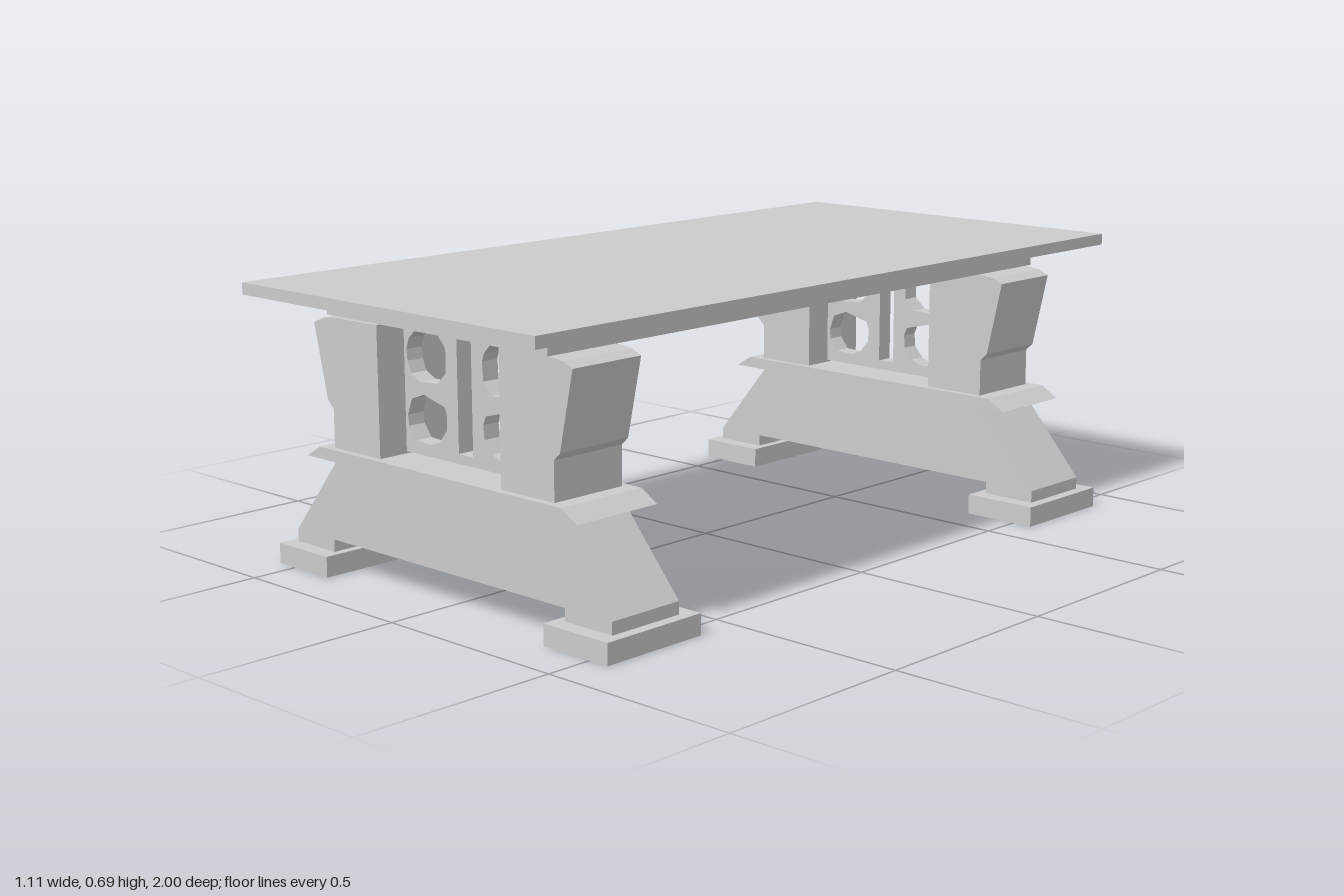
import * as THREE from 'three';

const material = new THREE.MeshStandardMaterial({ color: 0xcccccc, flatShading: true });
const shellMaterial = material.clone();
shellMaterial.side = THREE.DoubleSide;

const Z = 0.744; // distance of each trestle from the middle
const toPoints = (list) => list.map(([x, y]) => new THREE.Vector2(x, y));

function addMesh(parent, name, geometry, mat = material) {
  const mesh = new THREE.Mesh(geometry, mat);
  mesh.name = name;
  parent.add(mesh);
  return mesh;
}

// Box given by its limits
function box(x0, x1, y0, y1, z0, z1) {
  return new THREE.BoxGeometry(x1 - x0, y1 - y0, z1 - z0)
    .translate((x0 + x1) / 2, (y0 + y1) / 2, (z0 + z1) / 2);
}

// Outline in x and y, extruded evenly about z = 0
function prism(outline, depth, holes = []) {
  const shape = new THREE.Shape(toPoints(outline));
  for (const hole of holes) shape.holes.push(new THREE.Path(toPoints(hole)));
  return new THREE.ExtrudeGeometry(shape, { depth, bevelEnabled: false, curveSegments: 1 })
    .translate(0, 0, -depth / 2);
}

// Removes the triangles whose three corners all pass the test, leaving an opening
function openUp(geometry, test) {
  const source = geometry.index ? geometry.toNonIndexed() : geometry;
  const p = source.attributes.position;
  const kept = [];
  for (let i = 0; i < p.count; i += 3) {
    const corners = [i, i + 1, i + 2].map((j) => new THREE.Vector3().fromBufferAttribute(p, j));
    if (!corners.every(test)) corners.forEach((c) => kept.push(c.x, c.y, c.z));
  }
  const result = new THREE.BufferGeometry();
  result.setAttribute('position', new THREE.Float32BufferAttribute(kept, 3));
  result.computeVertexNormals();
  return result;
}

// Hollow foot: open below, with an opening on top where the leg enters
function foot(x0, x1, legX0, legX1) {
  const rect = (a, b, h) => [[a, -h], [b, -h], [b, h], [a, h]];
  const block = prism(rect(x0, x1, 0.14), 0.05, [rect(legX0, legX1, 0.1)])
    .rotateX(-Math.PI / 2).translate(0, 0.025, 0);
  const bottomOpen = openUp(block, (c) => c.y < 0.001);
  return openUp(bottomOpen, (c) => Math.abs(c.z) < 0.11);
}

// Pierced panel half, mirrored for the other side of the slot
const upperHole = [[-0.21, 0.547], [-0.2, 0.574], [-0.174, 0.596], [-0.105, 0.597], [-0.079, 0.571],
  [-0.073, 0.553], [-0.076, 0.508], [-0.105, 0.481], [-0.165, 0.478], [-0.195, 0.493], [-0.207, 0.52]];
const lowerHole = [[-0.21, 0.395], [-0.195, 0.434], [-0.153, 0.449], [-0.082, 0.431], [-0.073, 0.41],
  [-0.076, 0.377], [-0.1, 0.348], [-0.129, 0.336], [-0.183, 0.339], [-0.207, 0.369]];

function panel() {
  const mirror = (list) => list.map(([x, y]) => [-0.025 - x, y]);
  const outline = [[-0.218, 0.308], [0.193, 0.308], [0.193, 0.61], [-0.218, 0.61]];
  const slot = [[-0.036, 0.331], [0.012, 0.331], [0.012, 0.606], [-0.036, 0.606]];
  return prism(outline, 0.045, [slot, upperHole, lowerHole, mirror(upperHole), mirror(lowerHole)]);
}

function trestle(name) {
  const group = new THREE.Group();
  group.name = name;

  // Feet
  addMesh(group, 'rightFoot', foot(-0.556, -0.377, -0.536, -0.398), shellMaterial);
  addMesh(group, 'leftFoot', foot(0.36, 0.553, 0.385, 0.526), shellMaterial);

  // Spreading base with two open-ended legs
  const base = prism([[-0.536, 0.05], [-0.398, 0.05], [-0.398, 0.08], [0.385, 0.08], [0.385, 0.05],
    [0.526, 0.05], [0.526, 0.08], [0.358, 0.275], [-0.376, 0.275], [-0.536, 0.08]], 0.2);
  addMesh(group, 'trestleBase', openUp(base, (c) => c.y < 0.051), shellMaterial);

  // Ledge with sloping ends
  addMesh(group, 'ledge',
    prism([[-0.462, 0.275], [0.444, 0.275], [0.397, 0.303], [-0.417, 0.303]], 0.237));

  // Flared posts
  addMesh(group, 'rightPost', prism([[-0.383, 0.303], [-0.218, 0.303], [-0.218, 0.611],
    [-0.38, 0.609], [-0.412, 0.604], [-0.445, 0.59], [-0.403, 0.413], [-0.383, 0.395]], 0.2));
  addMesh(group, 'leftPost', prism([[0.19, 0.303], [0.357, 0.303], [0.357, 0.395], [0.376, 0.413],
    [0.417, 0.598], [0.39, 0.61], [0.357, 0.614], [0.19, 0.614]], 0.2));

  // Pierced panel between the posts
  addMesh(group, 'piercedPanel', panel());
  return group;
}

export function createModel() {
  const model = new THREE.Group();
  model.name = 'trestleTable';

  addMesh(model, 'tableTop', box(-0.5, 0.475, 0.667, 0.695, -1, 1));
  addMesh(model, 'apron', box(-0.381, 0.354, 0.617, 0.667, -0.855, 0.855));

  for (const side of [1, -1]) {
    const support = trestle(side > 0 ? 'frontTrestle' : 'backTrestle');
    support.position.z = side * Z;
    model.add(support);
  }
  return model;
}
